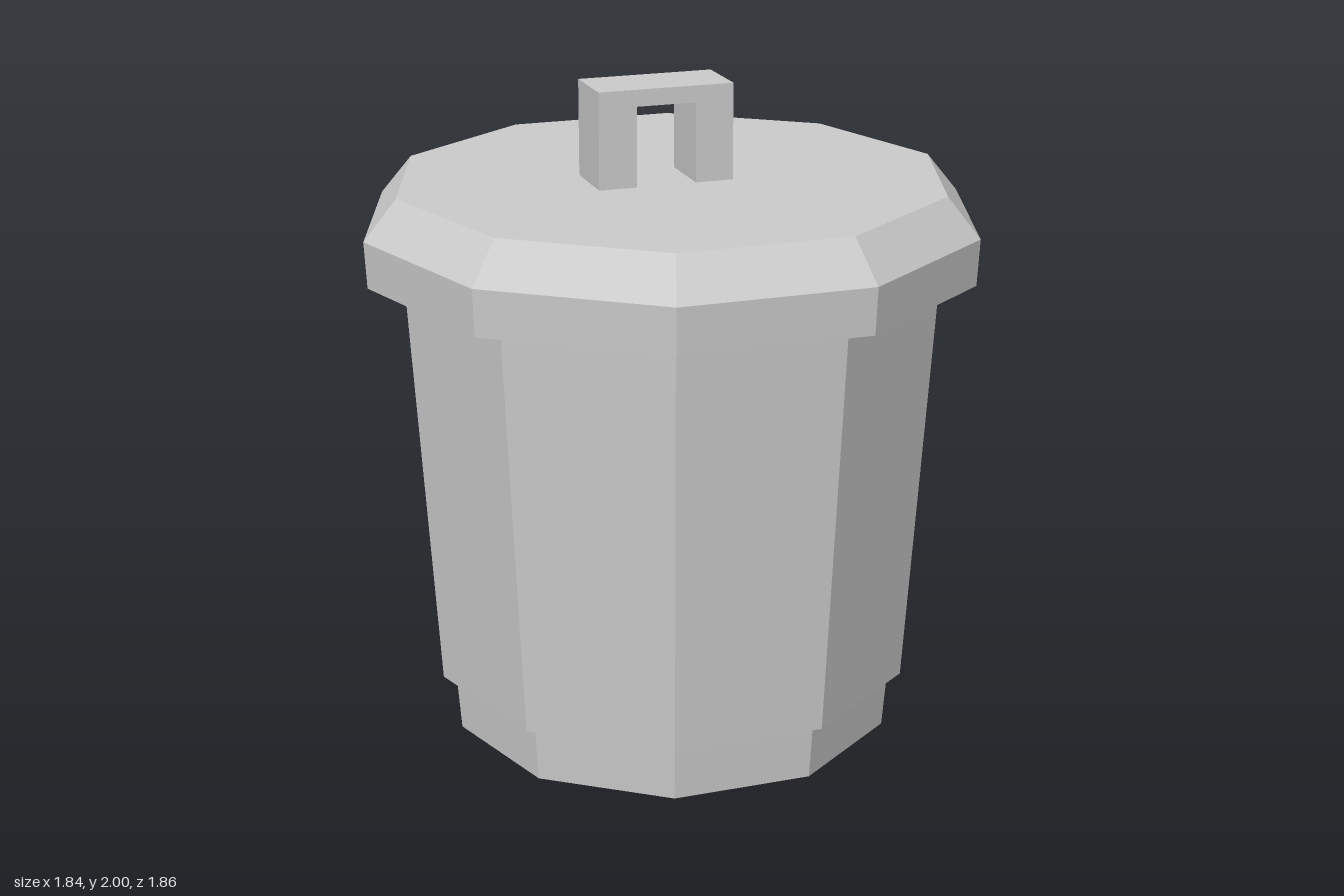
import * as THREE from 'three';

const SIDES = 10;
const TURN = THREE.MathUtils.degToRad(6.9);

const material = new THREE.MeshStandardMaterial({ color: 0xcccccc, flatShading: true });

// Ten-sided turned part from [radius, y] pairs, listed from bottom to top
function turned(name, profile) {
  const points = profile.map(([r, y]) => new THREE.Vector2(r, y));
  const mesh = new THREE.Mesh(new THREE.LatheGeometry(points, SIDES, TURN), material);
  mesh.name = name;
  return mesh;
}

// Square arch with two legs, standing on y = 0
function createHandle() {
  const w = 0.207, h = 0.29, inner = 0.091, gap = 0.24, depth = 0.198;
  const shape = new THREE.Shape([
    [-w, 0], [-inner, 0], [-inner, gap], [inner, gap],
    [inner, 0], [w, 0], [w, h], [-w, h],
  ].map(([x, y]) => new THREE.Vector2(x, y)));
  const geometry = new THREE.ExtrudeGeometry(shape, { depth, bevelEnabled: false });
  geometry.translate(0, 0, -depth / 2);
  const handle = new THREE.Mesh(geometry, material);
  handle.name = 'lidHandle';
  handle.position.set(-0.043, 1.71, 0.022);
  handle.rotation.y = THREE.MathUtils.degToRad(25);
  return handle;
}

export function createModel() {
  const model = new THREE.Group();
  model.name = 'trashCan';

  // Stepped foot and tapered bin body
  model.add(turned('body', [
    [0, 0], [0.688, 0], [0.702, 0.18], [0.742, 0.18], [0.82, 1.45],
  ]));

  // Overhanging lid with a sloped rim; its underside meets the body
  model.add(turned('lid', [
    [0.82, 1.45], [0.929, 1.45], [0.936, 1.59], [0.836, 1.71], [0, 1.71],
  ]));

  model.add(createHandle());
  return model;
}
